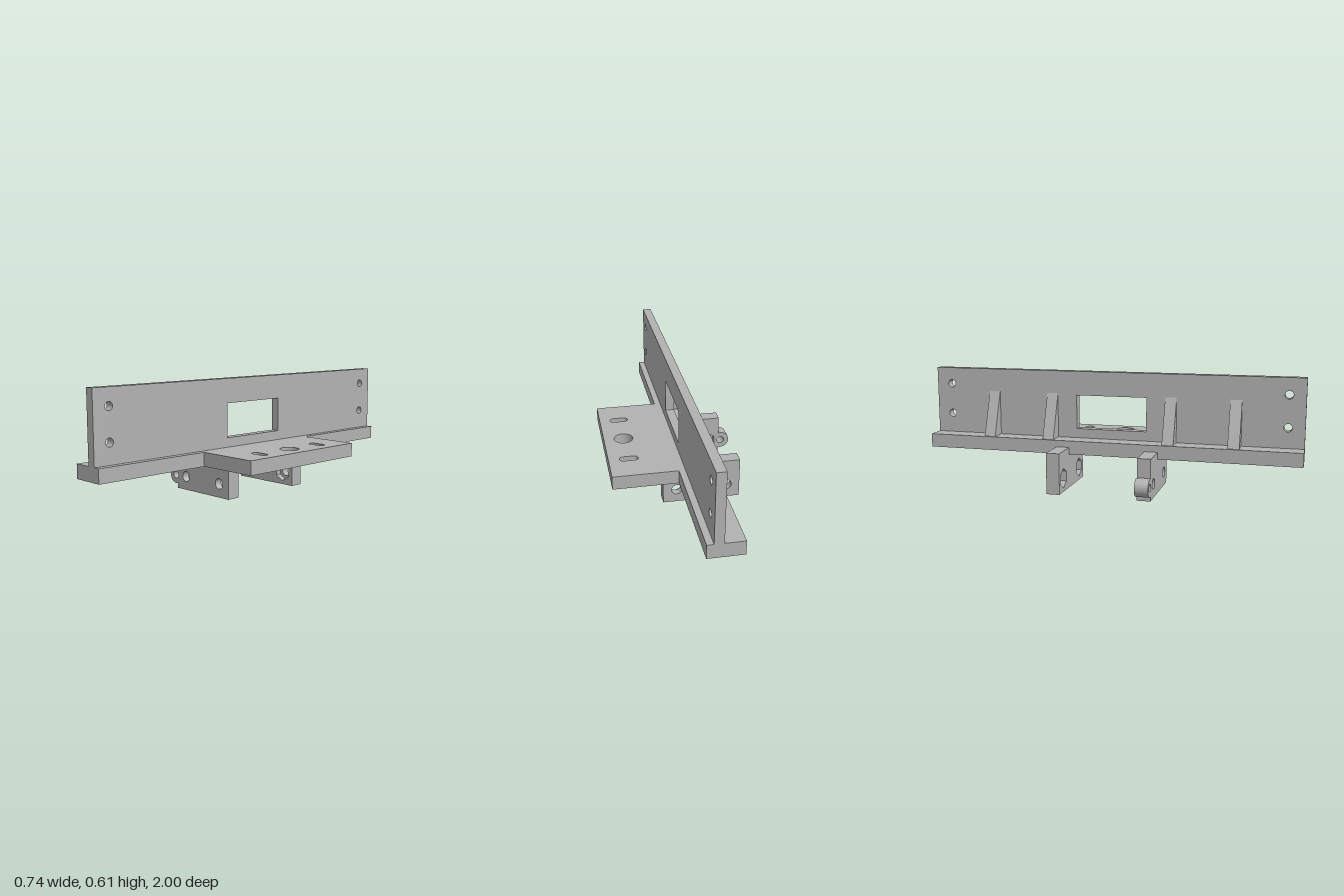
import * as THREE from 'three';

const grey = new THREE.MeshStandardMaterial({ color: 0xb2b2b2 });
grey.name = 'plain grey';

const polygon = (pts) => new THREE.Shape(pts.map(([x, y]) => new THREE.Vector2(x, y)));
const hole = (x, y, r) => new THREE.Path().absarc(x, y, r, 0, Math.PI * 2, true);
const extrude = (shape, depth) =>
  new THREE.ExtrudeGeometry(shape, { depth, bevelEnabled: false, curveSegments: 32 });

// Hexagonal nut pocket with its points up and down
function hexagon(x, y, r) {
  const pts = [];
  for (let i = 0; i < 6; i++) {
    const a = Math.PI / 2 - (i * Math.PI) / 3;
    pts.push(new THREE.Vector2(x + r * Math.cos(a), y + r * Math.sin(a)));
  }
  return new THREE.Path(pts);
}

// Rounded slot running along x
function slot(x0, x1, y, r) {
  const p = new THREE.Path();
  p.absarc(x1 - r, y, r, -Math.PI / 2, Math.PI / 2, false);
  p.absarc(x0 + r, y, r, Math.PI / 2, Math.PI * 1.5, false);
  p.closePath();
  return p;
}

// Side outline of a mounting lug, with or without the rounded ear
function lugShape(withEar) {
  const s = polygon([[-0.31, 0], [0.095, 0], [0.095, 0.178], [-0.145, 0.178], [-0.145, 0.215], [-0.31, 0.215]]);
  if (withEar) {
    const a = Math.acos(0.013 / 0.047);
    s.absarc(-0.323, 0.072, 0.047, a, Math.PI * 2 - a, false);
    s.holes.push(hole(-0.323, 0.072, 0.02));
  }
  s.closePath();
  return s;
}

export function createModel() {
  const model = new THREE.Group();
  model.name = 'mountingBracket';
  const add = (name, geometry, parent = model) => {
    const mesh = new THREE.Mesh(geometry, grey);
    mesh.name = name;
    parent.add(mesh);
    return mesh;
  };

  // T-shaped base: long rail and tongue in one plan outline
  const plan = polygon([
    [-0.145, -1], [0.033, -1], [0.033, -0.38], [0.367, -0.38],
    [0.367, 0.38], [0.033, 0.38], [0.033, 1], [-0.145, 1],
  ]);
  plan.holes.push(hole(0.262, 0, 0.05), slot(0.213, 0.31, 0.215, 0.021), slot(0.213, 0.31, -0.215, 0.021));
  add('basePlate', extrude(plan, 0.072).rotateX(Math.PI / 2)).position.y = 0.25;

  // Upright plate with window and end bolt holes
  const wall = polygon([[-1, 0.25], [1, 0.25], [1, 0.608], [-1, 0.608]]);
  wall.holes.push(new THREE.Path([[-0.19, 0.3], [-0.19, 0.48], [0.19, 0.48], [0.19, 0.3]]
    .map(([x, y]) => new THREE.Vector2(x, y))));
  for (const z of [-0.915, 0.915]) {
    for (const y of [0.355, 0.521]) wall.holes.push(hole(z, y, 0.021));
  }
  add('uprightPlate', extrude(wall, 0.047).rotateY(-Math.PI / 2));

  // Triangular stiffening ribs
  const rib = extrude(polygon([[-0.133, 0.25], [-0.047, 0.25], [-0.047, 0.487]]), 0.06);
  for (const z of [-0.658, -0.325, 0.32, 0.655]) add('rib', rib).position.z = z - 0.03;

  // Hanging lugs: round bores outside, hexagonal nut pockets on the inner face
  const inner = 0.203, pocket = 0.03, thickness = 0.07;
  for (const side of [1, -1]) {
    const lug = new THREE.Group();
    lug.name = side > 0 ? 'frontLug' : 'backLug';
    model.add(lug);
    const bored = lugShape(side > 0);
    const pocketed = lugShape(side > 0);
    for (const x of [-0.24, 0.023]) {
      bored.holes.push(hole(x, 0.072, 0.0275));
      pocketed.holes.push(hexagon(x, 0.072, 0.052));
    }
    add('pocketLayer', extrude(pocketed, pocket), lug).position.z =
      side > 0 ? inner : -inner - pocket;
    add('boreLayer', extrude(bored, thickness - pocket), lug).position.z =
      side > 0 ? inner + pocket : -inner - thickness;
  }
  return model;
}
